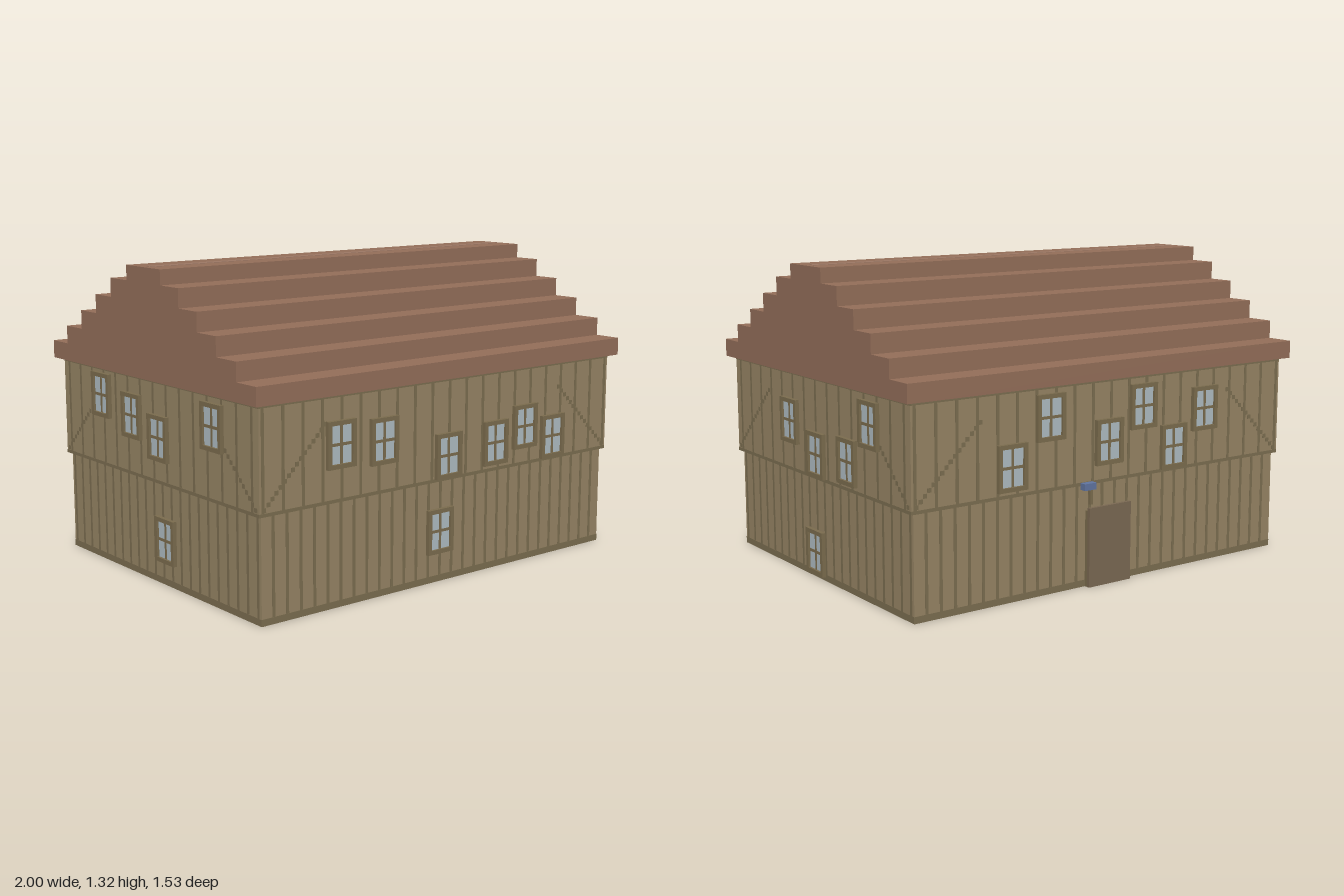
import * as THREE from 'three';

const mat = (color) => new THREE.MeshStandardMaterial({ color });
const M = {
  wall: mat(0x968464), trim: mat(0x7b6d50), frame: mat(0x7b6c4e), glass: mat(0xaebcc2),
  roof: mat(0x936e59), ridge: mat(0x9c7864), door: mat(0x7a6852), blue: mat(0x60749f),
};

function box(parent, name, material, w, h, d, x, y, z) {
  const mesh = new THREE.Mesh(new THREE.BoxGeometry(w, h, d), material);
  mesh.name = name;
  mesh.position.set(x, y, z);
  parent.add(mesh);
}

// Framed window with four panes, centred at (u, y) on a wall lying at depth z
function addWindow(parent, u, y, z) {
  const g = new THREE.Group();
  g.name = 'window';
  g.position.set(u, y, z);
  const w = 0.14, h = 0.19, t = 0.018, d = 0.018;
  for (const s of [-1, 1]) {
    box(g, 'windowJamb', M.frame, t, h, d, s * (w - t) / 2, 0, d / 2);
    box(g, 'windowRail', M.frame, w - 2 * t, t, d, 0, s * (h - t) / 2, d / 2);
  }
  box(g, 'glass', M.glass, w - 2 * t, h - 2 * t, 0.008, 0, 0, 0.004);
  box(g, 'mullion', M.frame, 0.012, h - 2 * t, 0.01, 0, 0, 0.005);
  box(g, 'crossbar', M.frame, w - 2 * t, 0.012, 0.01, 0, 0, 0.005);
  parent.add(g);
}

const LOWER = { x: 0.95, z: 0.716, y0: 0, y1: 0.432 };
const UPPER = { x: 0.967, z: 0.73, y0: 0.432, y1: 0.868 };

// Each side: u runs to the right as seen from outside; windows are [u, y]
const SIDES = [
  { name: 'frontWall', turn: 0, along: 'x', out: 'z', lowerWindows: [[-0.04, 0.22]],
    upperWindows: [[-0.58, 0.664], [-0.36, 0.648], [-0.01, 0.539], [0.26, 0.556], [0.437, 0.604], [0.61, 0.539]] },
  { name: 'rightWall', turn: Math.PI / 2, along: 'z', out: 'x', lowerWindows: [[-0.04, 0.112]],
    upperWindows: [[-0.215, 0.65], [0.008, 0.539], [0.264, 0.555], [0.438, 0.731]] },
  { name: 'backWall', turn: Math.PI, along: 'x', out: 'z', lowerWindows: [],
    upperWindows: [[-0.505, 0.555], [-0.317, 0.735], [-0.015, 0.602], [0.167, 0.73], [0.338, 0.54], [0.512, 0.685]] },
  { name: 'leftWall', turn: -Math.PI / 2, along: 'z', out: 'x', lowerWindows: [[0.06, 0.193]],
    upperWindows: [[-0.4, 0.742], [-0.157, 0.688], [0.045, 0.625], [0.434, 0.733]] },
];

// Evenly spaced vertical battens across one storey
function addBattens(parent, depth, storey, spacing, count) {
  for (let i = 0; i < count; i++) {
    box(parent, 'batten', M.trim, 0.014, storey.y1 - storey.y0, 0.002,
      (i - (count - 1) / 2) * spacing, (storey.y0 + storey.y1) / 2, depth);
  }
}

function addSide(house, s) {
  const g = new THREE.Group();
  g.name = s.name;
  g.rotation.y = s.turn;
  house.add(g);
  const lh = LOWER[s.along], ld = LOWER[s.out], uh = UPPER[s.along], ud = UPPER[s.out];
  const long = s.along === 'x';

  addBattens(g, ld, LOWER, 0.0662, long ? 28 : 22);
  addBattens(g, ud, UPPER, long ? 0.095 : 0.098, long ? 21 : 15);

  // Horizontal boards at the foot, floor line and eaves
  box(g, 'baseBoard', M.trim, 2 * lh, 0.028, 0.003, 0, 0.014, ld);
  box(g, 'floorBoard', M.trim, 2 * uh, 0.014, 0.003, 0, 0.439, ud);
  box(g, 'eavesBoard', M.trim, 2 * uh, 0.014, 0.003, 0, 0.855, ud);

  // Stepped diagonal braces in both upper corners
  for (const side of [-1, 1]) {
    for (let i = 0; i < 16; i++) {
      box(g, 'brace', M.trim, 0.018, 0.018, 0.0025,
        side * (uh - 0.022 - i * 0.0195), 0.458 + i * 0.0195, ud);
    }
  }

  for (const [u, y] of s.lowerWindows) addWindow(g, u, y, ld);
  for (const [u, y] of s.upperWindows) addWindow(g, u, y, ud);
}

// Stepped gable roof: half the profile as [half width, height], mirrored, extruded along x
function addRoof(house) {
  const steps = [[0.763, 0.938], [0.638, 1.016], [0.508, 1.096], [0.381, 1.176], [0.255, 1.255], [0.127, 1.318]];
  const half = [];
  let y = 0.862;
  for (const [w, top] of steps) {
    half.push(new THREE.Vector2(w, y), new THREE.Vector2(w, top));
    y = top;
  }
  const mirrored = half.map((p) => new THREE.Vector2(-p.x, p.y)).reverse();
  const geo = new THREE.ExtrudeGeometry(new THREE.Shape([...half, ...mirrored]), { depth: 2, bevelEnabled: false });
  geo.translate(0, 0, -1);
  geo.rotateY(Math.PI / 2);
  const roof = new THREE.Mesh(geo, M.roof);
  roof.name = 'roof';
  house.add(roof);
  box(house, 'ridgeBeam', M.ridge, 1.94, 0.01, 0.04, 0, 1.3145, 0);
}

export function createModel() {
  const house = new THREE.Group();
  house.name = 'house';

  // Storeys
  for (const [name, s] of [['lowerStorey', LOWER], ['upperStorey', UPPER]]) {
    box(house, name, M.wall, 2 * s.x, s.y1 - s.y0, 2 * s.z, 0, (s.y0 + s.y1) / 2, 0);
  }
  for (const s of SIDES) addSide(house, s);
  addRoof(house);

  // Back door with frame
  box(house, 'doorFrame', M.frame, 0.22, 0.322, 0.018, 0.01, 0.161, -0.722);
  box(house, 'door', M.door, 0.22, 0.335, 0.014, 0.01, 0.1675, -0.738);

  // Small lantern on a post beside the door
  box(house, 'lanternPost', M.frame, 0.014, 0.085, 0.013, 0.11, 0.393, -0.738);
  box(house, 'lantern', M.blue, 0.06, 0.028, 0.03, 0.13, 0.431, -0.748);

  return house;
}
